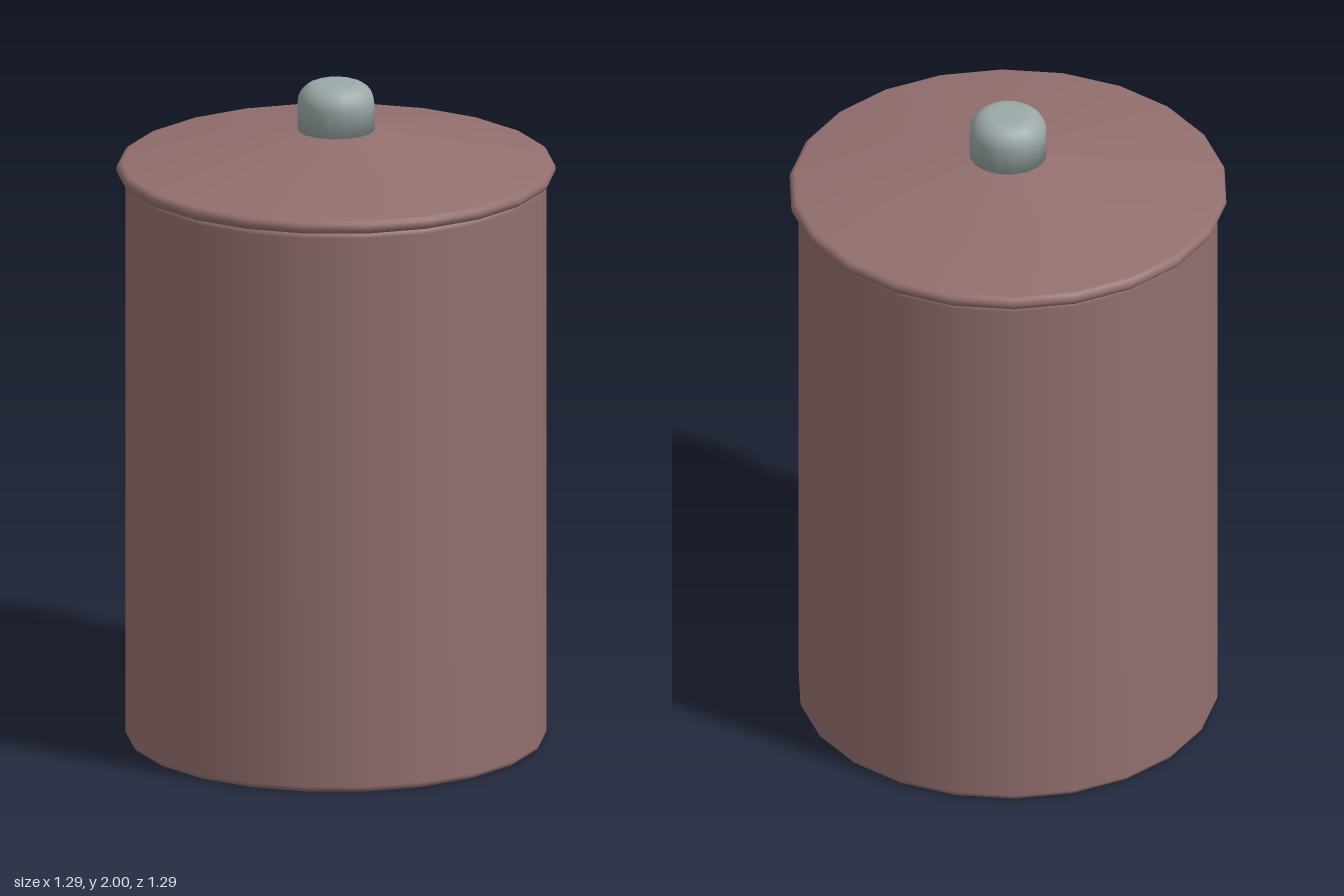
import * as THREE from 'three';

const clay = new THREE.MeshStandardMaterial({ color: 0x936f6f });
clay.name = 'mauve clay';
const metal = new THREE.MeshStandardMaterial({ color: 0x9ca8a8 });
metal.name = 'pale grey';

// Turned part from a profile of [radius, height] points, listed bottom to top
function turned(name, profile, sides, material) {
  const points = profile.map(([r, y]) => new THREE.Vector2(r, y));
  const mesh = new THREE.Mesh(new THREE.LatheGeometry(points, sides, -0.095), material);
  mesh.name = name;
  return mesh;
}

// Quarter-round edge of radius b, from angle a0 to a1 in degrees
function rounded(r, y, b, a0, a1, steps = 4) {
  return Array.from({ length: steps + 1 }, (_, i) => {
    const a = THREE.MathUtils.degToRad(a0 + ((a1 - a0) * i) / steps);
    return [r + b * Math.cos(a), y + b * Math.sin(a)];
  });
}

export function createModel() {
  const group = new THREE.Group();
  group.name = 'canister';

  // Jar body with softened top and bottom edges
  group.add(turned('body', [
    [0, 0], ...rounded(0.602, 0.018, 0.018, -90, 0),
    ...rounded(0.602, 1.697, 0.018, 0, 90), [0, 1.715],
  ], 22, clay));

  // Conical lid with a rounded rim
  group.add(turned('lid', [
    [0, 1.714], ...rounded(0.626, 1.735, 0.021, -90, 80, 6),
    [0.115, 1.857], [0, 1.857],
  ], 22, clay));

  // Knob with a domed edge
  group.add(turned('knob', [
    [0, 1.85], [0.114, 1.85], ...rounded(0.052, 1.938, 0.062, 0, 90, 6), [0, 2],
  ], 16, metal));

  return group;
}
